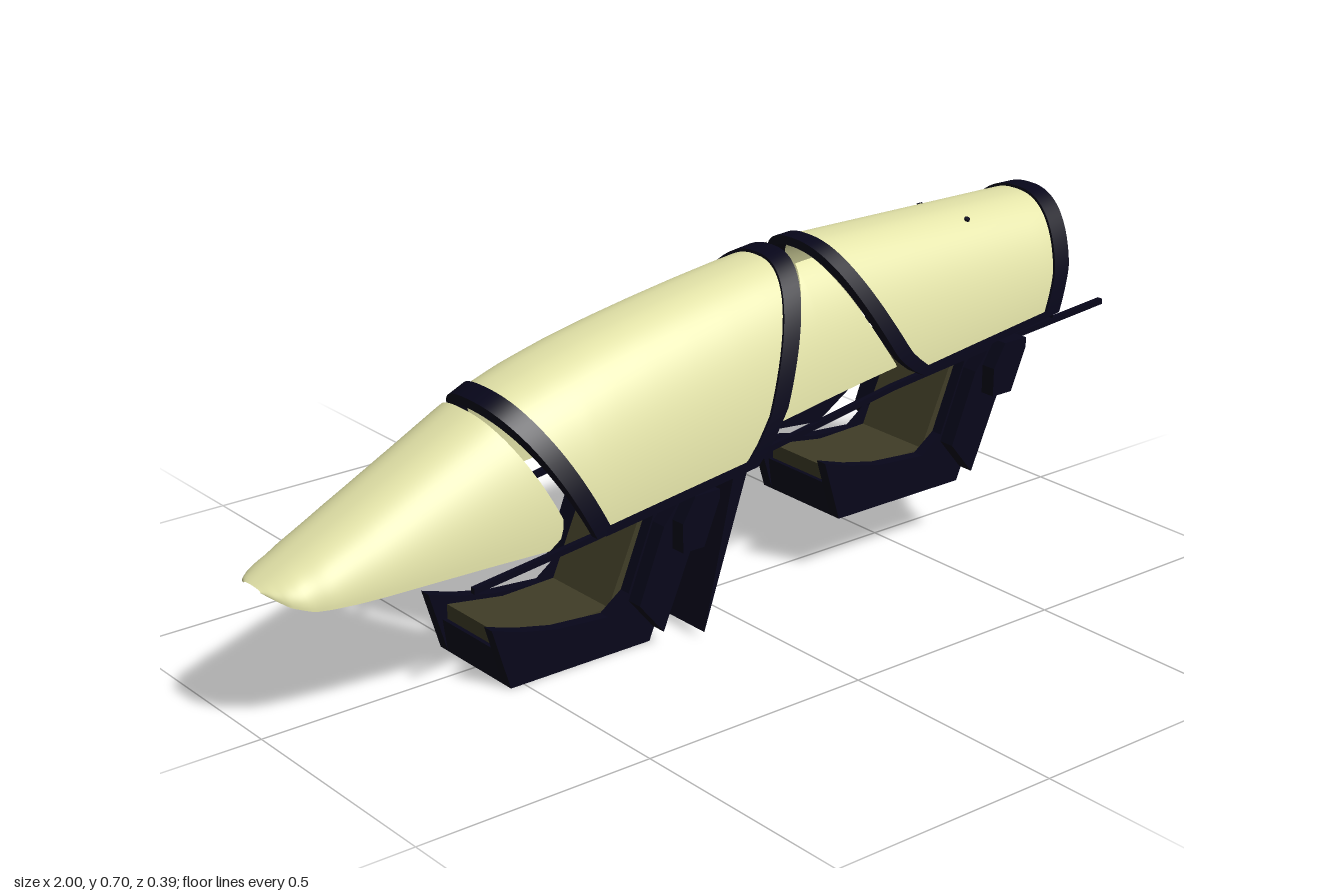
import * as THREE from 'three';
import { toCreasedNormals } from 'three/addons/utils/BufferGeometryUtils.js';

const glass = new THREE.MeshStandardMaterial({ color: 0xe4e4a9, side: THREE.DoubleSide });
glass.name = 'tinted glass';
const dark = new THREE.MeshStandardMaterial({ color: 0x07061a, side: THREE.DoubleSide });
dark.name = 'dark frame';
const cushion = new THREE.MeshStandardMaterial({ color: 0x403d27 });
cushion.name = 'olive upholstery';

// Piecewise linear lookup in a list of [input, output] pairs
function lookup(pairs, x) {
  if (x <= pairs[0][0]) return pairs[0][1];
  for (let i = 1; i < pairs.length; i++) {
    const [x0, y0] = pairs[i - 1], [x1, y1] = pairs[i];
    if (x <= x1) return y0 + (y1 - y0) * (x - x0) / (x1 - x0);
  }
  return pairs[pairs.length - 1][1];
}

// Canopy top line, lower line and half width along x
const TOP = [[-1, 0.305], [-0.54, 0.535], [-0.48, 0.56], [-0.4, 0.585], [-0.3, 0.611], [-0.2, 0.632],
  [-0.1, 0.65], [0, 0.666], [0.1, 0.68], [0.2, 0.692], [0.3, 0.698], [0.92, 0.69]];
const LOW = [[-1, 0.3], [-0.97, 0.28], [-0.93, 0.267], [-0.85, 0.267], [-0.6, 0.28], [-0.36, 0.29],
  [0, 0.332], [0.47, 0.4], [0.84, 0.447], [0.95, 0.46]];
const WIDTH = [[-1, 0.03], [-0.99, 0.053], [-0.97, 0.078], [-0.95, 0.09], [-0.9, 0.107], [-0.8, 0.126],
  [-0.5, 0.17], [-0.43, 0.182], [-0.36, 0.188], [0, 0.184], [0.3, 0.175], [0.6, 0.166], [0.84, 0.16], [0.92, 0.154]];

// Point on the canopy at x; a is the angle from the crown, off the distance outward
function skin(x, a, off = 0) {
  const t = lookup(TOP, x), h = t - lookup(LOW, x), w = lookup(WIDTH, x);
  const side = Math.sign(a) * Math.pow(Math.abs(Math.sin(a)), 0.82);
  return [x, t - h * (1 - Math.cos(a)) + off * Math.cos(a), (w + off) * side];
}
const depth = (a) => 1 - Math.cos(a);
const angle = (k) => Math.acos(1 - k);

// Surface from a grid of points f(u, v)
function grid(nu, nv, f) {
  const pos = [], idx = [];
  for (let j = 0; j <= nv; j++) for (let i = 0; i <= nu; i++) pos.push(...f(i / nu, j / nv));
  for (let j = 0; j < nv; j++) {
    for (let i = 0; i < nu; i++) {
      const a = j * (nu + 1) + i, b = a + nu + 1;
      idx.push(a, b, a + 1, b, b + 1, a + 1);
    }
  }
  const g = new THREE.BufferGeometry();
  g.setAttribute('position', new THREE.Float32BufferAttribute(pos, 3));
  g.setIndex(idx);
  g.computeVertexNormals();
  return g;
}

// Canopy area between two edges; each edge lists [depth, x]
function patch(left, right, a0, a1, off = 0, bias = 1) {
  return grid(40, 48, (u, v) => {
    const a = a0 + (a1 - a0) * v, k = depth(a);
    const x0 = lookup(left, k), x1 = lookup(right, k);
    return skin(x0 + (x1 - x0) * Math.pow(u, bias), a, off);
  });
}

// Solid hoop following an edge over the canopy
function hoop(edge, aMax, width) {
  const corners = [[-1, 0.006], [1, 0.006], [1, -0.012], [-1, -0.012], [-1, 0.006]];
  return toCreasedNormals(grid(4, 48, (u, v) => {
    const a = aMax * (2 * v - 1), [s, off] = corners[Math.round(u * 4)];
    return skin(lookup(edge, depth(a)) + s * width / 2, a, off);
  }), 0.7);
}

// Side profile given in x and y, extruded between two z values
function prism(points, z0, z1) {
  const shape = new THREE.Shape(points.map(([x, y]) => new THREE.Vector2(x, y)));
  return new THREE.ExtrudeGeometry(shape, { depth: z1 - z0, bevelEnabled: false }).translate(0, 0, z0);
}

function add(parent, name, geometry, material) {
  const mesh = new THREE.Mesh(geometry, material);
  mesh.name = name;
  parent.add(mesh);
  return mesh;
}

// Bucket seat with narrow pan, wide shoulders and a tall headrest
function makeSeat(name) {
  const seat = new THREE.Group();
  seat.name = name;
  add(seat, 'seatBody', prism([[-0.54, 0.07], [-0.53, 0], [-0.2, 0], [-0.07, 0.31], [-0.06, 0.36],
    [-0.14, 0.36], [-0.24, 0.06], [-0.3, 0.05]], -0.1, 0.1), dark);
  for (const s of [-1, 1]) {
    const slab = (part, points, zIn, zOut) =>
      add(seat, part, prism(points, s > 0 ? zIn : -zOut, s > 0 ? zOut : -zIn), dark);
    slab('seatSide', [[-0.57, 0.13], [-0.53, 0], [-0.2, 0], [-0.07, 0.31], [-0.065, 0.36],
      [-0.14, 0.36], [-0.19, 0.26], [-0.25, 0.115], [-0.3, 0.08], [-0.42, 0.09], [-0.5, 0.108]], 0.092, 0.117);
    slab('backWing', [[-0.25, 0.1], [-0.192, 0.03], [-0.07, 0.31], [-0.14, 0.31], [-0.19, 0.25]], 0.11, 0.152);
    slab('shoulder', [[-0.17, 0.2], [-0.118, 0.2], [-0.08, 0.29], [-0.08, 0.31], [-0.14, 0.31], [-0.17, 0.26]],
      0.15, 0.185);
  }
  add(seat, 'seatCushion', prism([[-0.53, 0.1], [-0.53, 0.06], [-0.28, 0.045], [-0.25, 0.085], [-0.4, 0.08]],
    -0.09, 0.09), cushion);
  add(seat, 'backCushion', prism([[-0.28, 0.08], [-0.23, 0.06], [-0.12, 0.36], [-0.155, 0.36]], -0.09, 0.09), cushion);
  add(seat, 'headrest', prism([[-0.15, 0.34], [-0.06, 0.34], [-0.05, 0.5], [-0.14, 0.52]], -0.07, 0.07), dark);
  return seat;
}

export function createModel() {
  const model = new THREE.Group();
  model.name = 'tandem cockpit canopy';
  const full = Math.PI / 2;

  // Windscreen nose
  add(model, 'windscreen', patch([[0, -1]], [[0, -0.545], [0.8, -0.445], [0.92, -0.447], [1, -0.475]],
    -full, full, 0, 1.6), glass);

  // Front and rear hatches with their hoops and sills
  const hatches = [
    ['front', [[0, -0.51], [1, -0.36]], [[0, 0.182], [0.74, 0.072], [0.9, 0.03], [1, -0.01]], full],
    ['rear', [[0, 0.275], [0.75, 0.41], [0.87, 0.445], [0.95, 0.48]],
      [[0, 0.9], [0.6, 0.873], [0.95, 0.835]], angle(0.95)],
  ];
  for (const [name, left, right, aMax] of hatches) {
    add(model, name + 'Canopy', patch(left, right, -aMax, aMax), glass);
    add(model, name + 'FrontHoop', hoop(left, aMax, 0.038), dark);
    add(model, name + 'BackHoop', hoop(right, aMax, 0.044), dark);
    for (const s of [-1, 1]) {
      add(model, name + 'Sill', patch(left, right, s * angle(depth(aMax) - 0.06), s * aMax, 0.006), dark);
    }
  }

  // Triangular side windows between the hatches
  for (const s of [-1, 1]) {
    add(model, 'sideWindow', patch([[0.05, 0.205], [0.82, 0.07]], [[0.05, 0.25], [0.8, 0.39]],
      s * angle(0.05), s * angle(0.81)), glass);
  }

  // Tiny studs on the rear hatch
  for (const s of [-1, 1]) {
    const stud = add(model, 'hatchStud', new THREE.CylinderGeometry(0.006, 0.006, 0.008, 12), dark);
    stud.position.set(...skin(0.67, s * 0.36));
    stud.rotation.x = s * 0.45;
  }

  // Rear bulkhead closing the back hoop
  const rearEdge = hatches[1][2];
  add(model, 'rearBulkhead', grid(12, 24, (u, v) => {
    const a = full * v;
    const [x, y, z] = skin(lookup(rearEdge, depth(a)) + 0.012, a, -0.003);
    return [x, y, z * (2 * u - 1)];
  }), dark);

  // Long side rails
  const railLine = [[-0.63, 0.24], [-0.35, 0.272], [0, 0.332], [0.4, 0.395], [0.7, 0.427], [1, 0.452]];
  const outline = [...railLine.map(([x, y]) => [x, y + 0.006]), ...railLine.map(([x, y]) => [x, y - 0.006]).reverse()];
  for (const s of [-1, 1]) add(model, 'sideRail', prism(outline, s * 0.147 - 0.006, s * 0.147 + 0.006), dark);

  // Instrument hood in front of the rear seat and slanted plate behind the front seat
  add(model, 'instrumentPanel', prism([[0.04, 0.385], [0.2, 0.37], [0.28, 0.42], [0.08, 0.42]], -0.15, 0.15), dark);
  add(model, 'instrumentHood', prism([[0.1, 0.41], [0.27, 0.41], [0.27, 0.53], [0.18, 0.53]], -0.08, 0.08), dark);
  add(model, 'dividerPlate', prism([[-0.112, 0.015], [-0.005, 0.33], [-0.04, 0.325]], -0.178, 0.178), dark);

  // Two matching seats
  model.add(makeSeat('frontSeat'));
  const rearSeat = makeSeat('rearSeat');
  rearSeat.position.set(0.82, 0.127, 0);
  model.add(rearSeat);

  return model;
}
